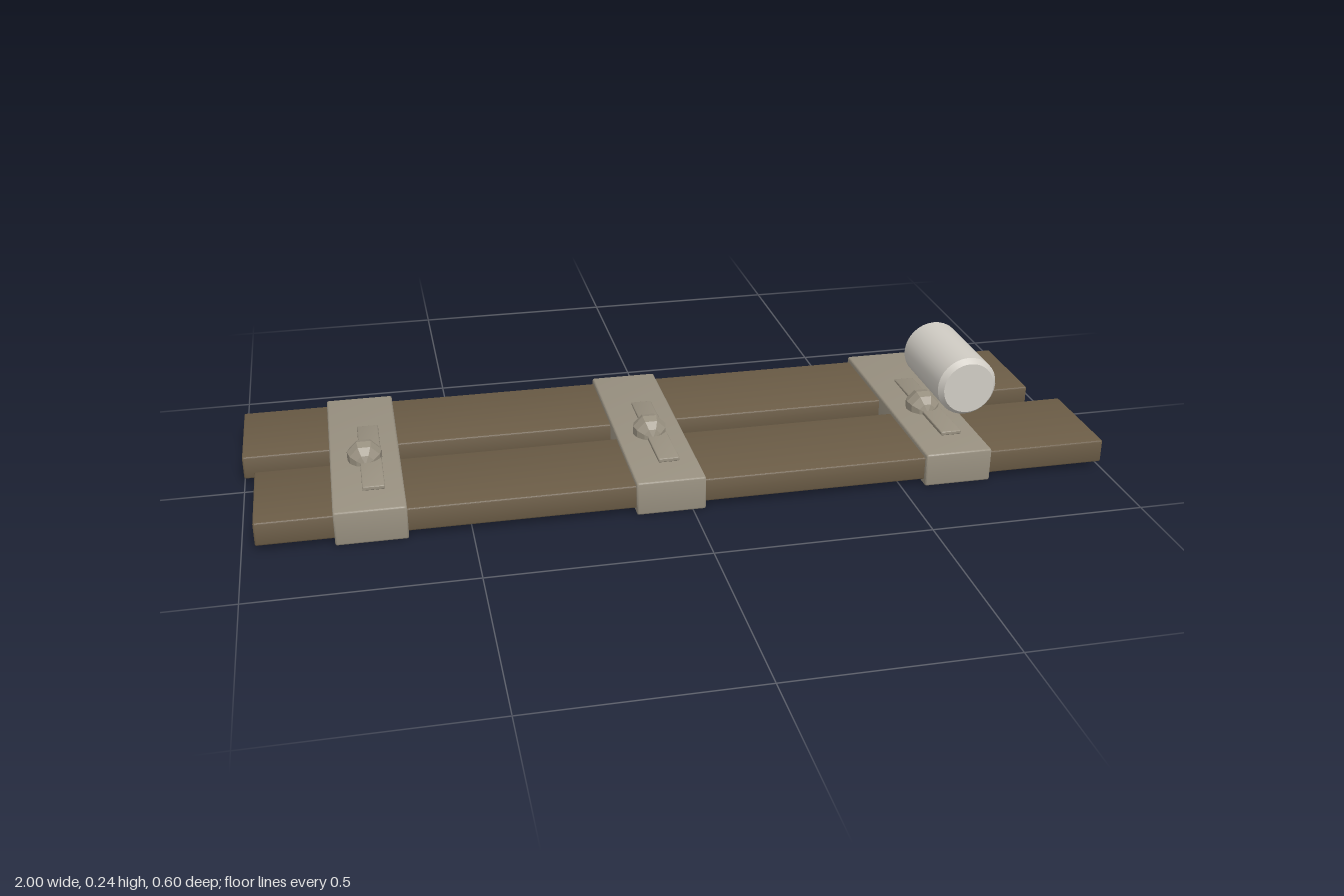
import * as THREE from 'three';
import { RoundedBoxGeometry } from 'three/addons/geometries/RoundedBoxGeometry.js';
import { toCreasedNormals } from 'three/addons/utils/BufferGeometryUtils.js';

const flat = (name, color) => {
  const m = new THREE.MeshStandardMaterial({ color });
  m.name = name;
  return m;
};

export function createModel() {
  const wood = flat('dark wood', 0x6b5c46);
  const strapMetal = flat('dull metal', 0x989080);
  const canMetal = flat('pale metal', 0xd0ccc4);
  const model = new THREE.Group();
  model.name = 'strappedPlanks';

  const add = (parent, name, geometry, material, x, y, z) => {
    const mesh = new THREE.Mesh(geometry, material);
    mesh.name = name;
    mesh.position.set(x, y, z);
    parent.add(mesh);
    return mesh;
  };
  // Box with narrow softened edges
  const block = (w, h, d, r) =>
    toCreasedNormals(new RoundedBoxGeometry(w, h, d, 2, r), 0.6);

  // Two planks, slightly offset lengthwise
  add(model, 'backPlank', block(1.95, 0.056, 0.25, 0.004), wood, -0.025, 0.042, -0.165);
  add(model, 'frontPlank', block(1.97, 0.056, 0.25, 0.004), wood, 0.015, 0.042, 0.165);

  // Three cross straps, each with a thin latch bar and a faceted knob
  const strapGeo = block(0.16, 0.081, 0.6, 0.005);
  const barGeo = block(0.05, 0.01, 0.335, 0.003);
  const knobGeo = toCreasedNormals(
    new THREE.SphereGeometry(0.043, 8, 6).rotateY(Math.PI / 8).rotateX(Math.PI / 2), 0.1);
  for (const x of [-0.72, -0.05, 0.635]) {
    const strap = new THREE.Group();
    strap.name = 'strap';
    strap.position.x = x;
    add(strap, 'strapBody', strapGeo, strapMetal, 0, 0.0405, 0);
    add(strap, 'latchBar', barGeo, strapMetal, 0.013, 0.0835, 0.0425).rotation.x = -0.02;
    add(strap, 'knob', knobGeo, strapMetal, 0, 0.085, 0.045);
    model.add(strap);
  }

  // Can lying on its side with chamfered rims
  const profile = [[0, -0.1325], [0.063, -0.1325], [0.0735, -0.118],
    [0.0735, 0.118], [0.063, 0.1325], [0, 0.1325]].map(p => new THREE.Vector2(...p));
  const canGeo = toCreasedNormals(new THREE.LatheGeometry(profile, 32).rotateX(Math.PI / 2), 0.4);
  add(model, 'can', canGeo, canMetal, 0.718, 0.162, -0.002);

  return model;
}
